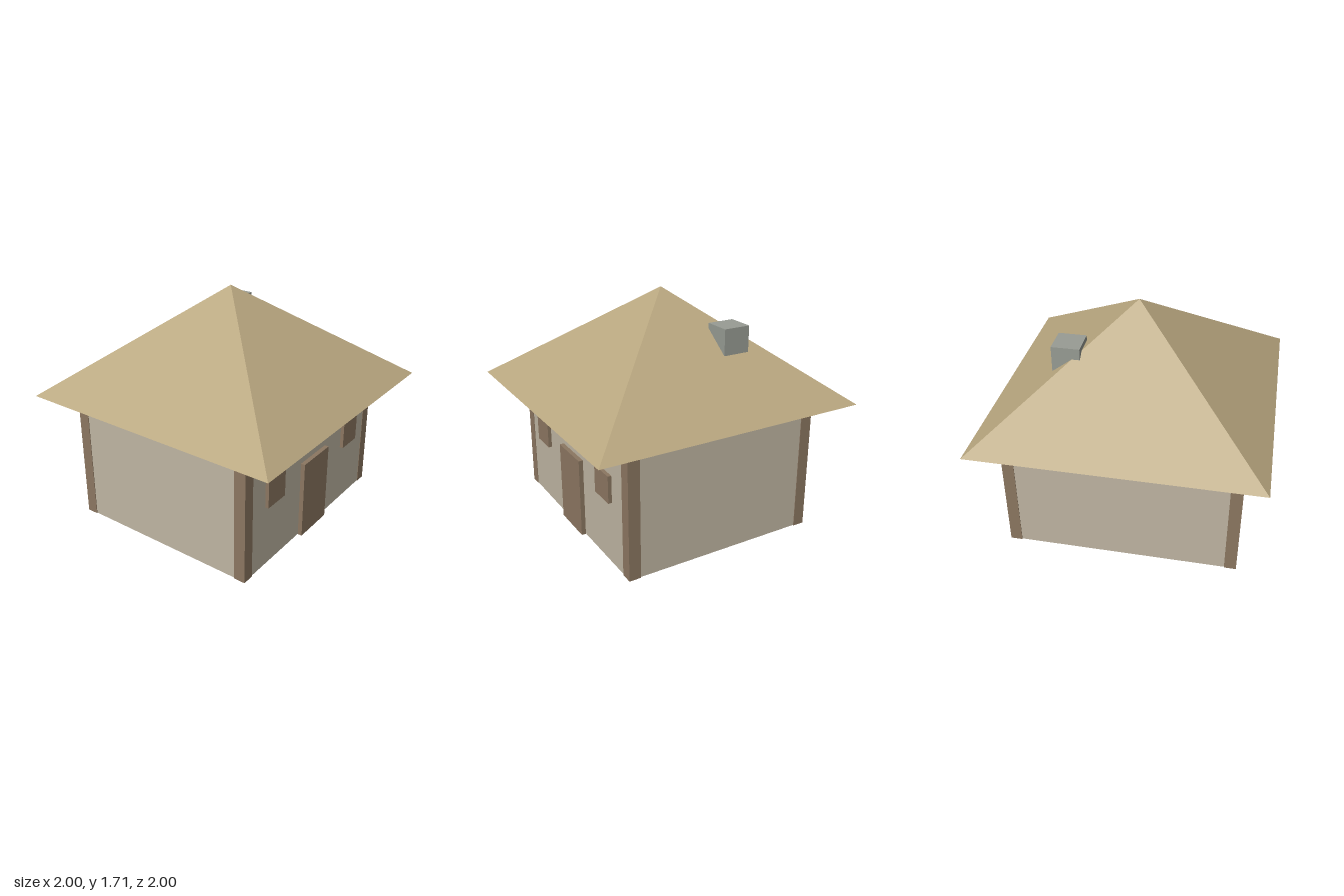
import * as THREE from 'three';

const flat = (name, color) => {
  const m = new THREE.MeshStandardMaterial({ color });
  m.name = name;
  return m;
};

export function createModel() {
  const house = new THREE.Group();
  house.name = 'cottage';
  const plaster = flat('plaster', 0xbfb5a2);
  const wood = flat('wood', 0x8c7761);
  const thatch = flat('thatch', 0xb8a67f);
  const stone = flat('stone', 0x989c94);

  // Box given by its lower and upper corners
  const box = (name, material, [x0, y0, z0], [x1, y1, z1]) => {
    const mesh = new THREE.Mesh(new THREE.BoxGeometry(x1 - x0, y1 - y0, z1 - z0), material);
    mesh.position.set((x0 + x1) / 2, (y0 + y1) / 2, (z0 + z1) / 2);
    mesh.name = name;
    house.add(mesh);
  };

  const eaves = 0.945;
  box('walls', plaster, [-0.837, 0.003, -0.727], [0.837, eaves, 0.727]);

  // Corner posts, almost flush with the walls
  for (const sx of [-1, 1]) {
    for (const sz of [-1, 1]) {
      const x = sx * 0.798, z = sz * 0.688;
      box('cornerPost', wood, [x - 0.043, 0, z - 0.043], [x + 0.043, eaves, z + 0.043]);
    }
  }

  // Front beam, door and shutters
  box('frontBeam', wood, [-0.87, 0.875, 0.69], [0.87, 0.937, 0.765]);
  box('door', wood, [-0.165, 0, 0.70], [0.165, 0.59, 0.759]);
  for (const sx of [-1, 1]) {
    const x = sx * 0.506;
    box('window', wood, [x - 0.1, 0.467, 0.70], [x + 0.1, 0.665, 0.753]);
  }

  // Four-sided roof with a closed underside
  const height = 0.76;
  const roofShape = new THREE.ConeGeometry(Math.SQRT2, height, 4, 1).toNonIndexed();
  roofShape.rotateY(Math.PI / 4);
  roofShape.computeVertexNormals();
  const roof = new THREE.Mesh(roofShape, thatch);
  roof.position.y = eaves + height / 2;
  roof.name = 'roof';
  house.add(roof);

  box('chimney', stone, [0.333, 1.25, -0.39], [0.531, 1.49, -0.19]);
  return house;
}
